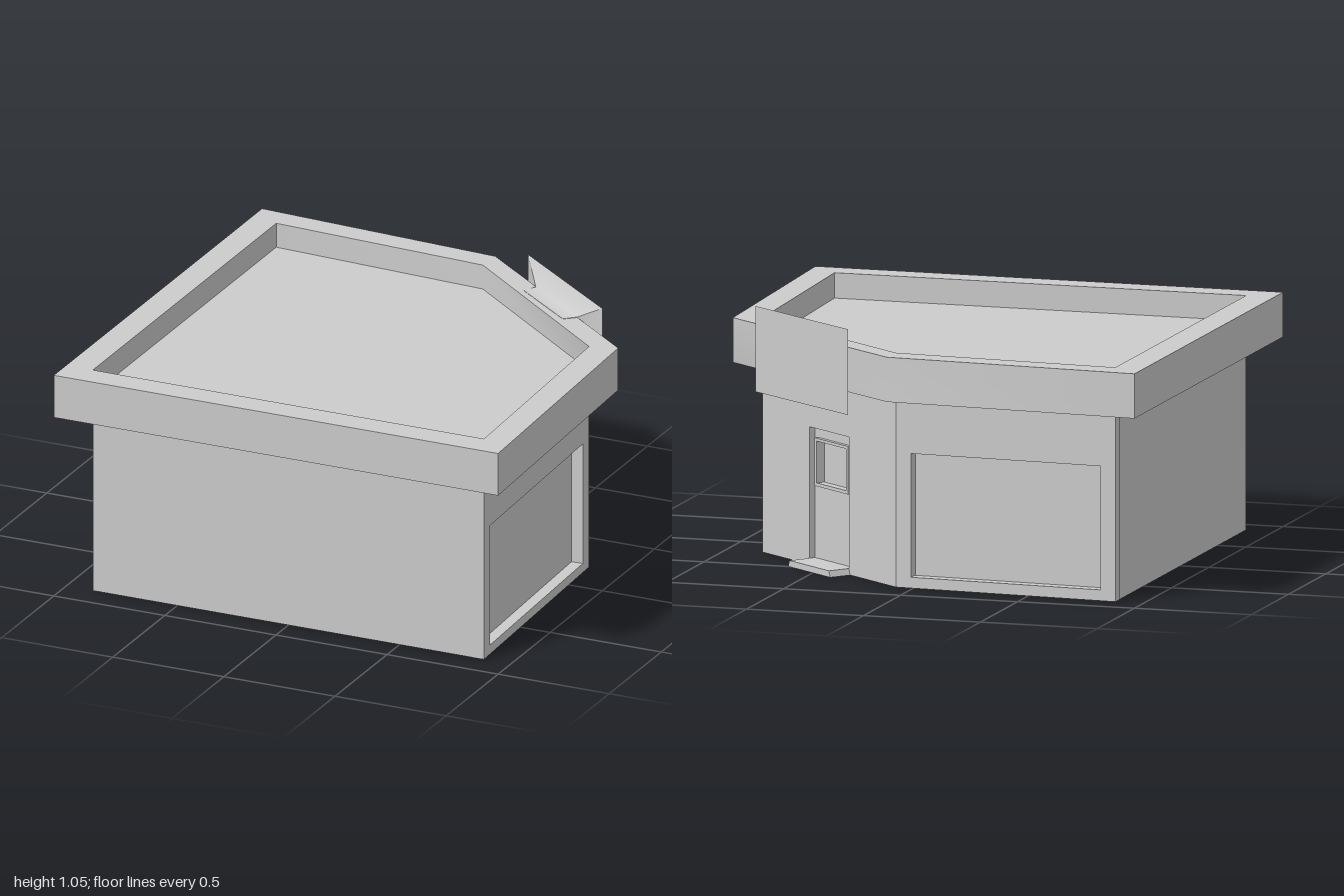
import * as THREE from 'three';
import { toCreasedNormals } from 'three/addons/utils/BufferGeometryUtils.js';

const material = new THREE.MeshStandardMaterial({ color: 0xcccccc });

const WALL_H = 0.785, ROOF_TOP = 0.97, ROOF_FLOOR = 0.865;
// Plan corners as (x, z), walking round with the outside on the right
const WALLS = [[-0.88, 0.88], [0.88, 0.88], [0.842, -0.21], [0.075, -0.826], [-0.88, -0.88]];
const EAVES = [[-1, 1], [1, 1], [0.957, -0.245], [0.08, -0.935], [-1, -1]];

const toPoints = (list) => list.map(([x, y]) => new THREE.Vector2(x, y));
const rect = (x0, y0, x1, y1) => toPoints([[x0, y0], [x1, y0], [x1, y1], [x0, y1]]);

function add(parent, name, geometry, x = 0, y = 0, z = 0) {
  const mesh = new THREE.Mesh(geometry, material);
  mesh.name = name;
  mesh.position.set(x, y, z);
  parent.add(mesh);
  return mesh;
}

// Extrude a plan shape downwards from its top height
function slab(shape, height, top) {
  return new THREE.ExtrudeGeometry(shape, { depth: height, bevelEnabled: false })
    .rotateX(Math.PI / 2).translate(0, top, 0);
}

// Rectangular frame with an open middle, growing towards +z
function frame(outer, inner, depth) {
  const shape = new THREE.Shape(outer);
  shape.holes.push(new THREE.Path(inner));
  return new THREE.ExtrudeGeometry(shape, { depth, bevelEnabled: false });
}

// Move every vertex of a geometry by a rule
function reshape(geometry, rule) {
  const p = geometry.attributes.position;
  for (let i = 0; i < p.count; i++) p.setXYZ(i, ...rule(p.getX(i), p.getY(i), p.getZ(i)));
  geometry.computeVertexNormals();
  return geometry;
}

// Group at the left end of a wall, local x along it and local z outwards
function wallGroup(name, a, b) {
  const group = new THREE.Group();
  group.name = name;
  group.position.set(a[0], 0, a[1]);
  group.rotation.y = Math.atan2(a[1] - b[1], b[0] - a[0]);
  return { group, length: Math.hypot(b[0] - a[0], b[1] - a[1]) };
}

// Wall with a large recessed shop window
function windowWall(group, length, y0, y1) {
  const depth = 0.05, m = 0.065;
  add(group, 'wall', frame(rect(0, 0, length, WALL_H), rect(m, y0, length - m, y1), depth), 0, 0, -depth);
  add(group, 'windowPane', new THREE.PlaneGeometry(length - 2 * m, y1 - y0),
    length / 2, (y0 + y1) / 2, -depth);
}

// Sign board that narrows to a neck resting on the parapet, in one smooth sweep
function signGeometry() {
  const sections = [
    { z: -0.1, w: 0.345, h: 0.188 },
    { z: -0.04, w: 0.368, h: 0.19 },
    { z: 0, w: 0.66, h: 0.355 },
  ];
  return reshape(new THREE.BoxGeometry(1, 1, 2, 1, 1, 2), (x, y, z) => {
    const s = sections[Math.round(z) + 1];
    return [x * s.w, y * s.h, s.z];
  });
}

// Corner wall with the door, step and sign
function entranceWall(group, length) {
  const depth = 0.028, half = 0.145, doorH = 0.57, mid = length / 2;
  const shape = new THREE.Shape(toPoints([
    [0, 0], [mid - half, 0], [mid - half, doorH], [mid + half, doorH],
    [mid + half, 0], [length, 0], [length, WALL_H], [0, WALL_H],
  ]));
  add(group, 'wall', new THREE.ExtrudeGeometry(shape, { depth, bevelEnabled: false }), 0, 0, -depth);

  // Door leaf with its small window
  add(group, 'door',
    frame(rect(-half, 0, half, doorH), rect(-0.108, 0.342, 0.108, 0.515), 0.02), mid, 0, -depth - 0.02);
  add(group, 'doorWindowFrame',
    frame(rect(-0.122, 0.328, 0.122, 0.527), rect(-0.108, 0.342, 0.108, 0.515), 0.018), mid, 0, -depth);
  add(group, 'doorWindowPane', new THREE.PlaneGeometry(0.216, 0.173), mid, 0.4285, -depth - 0.02);

  // Doorstep, its ends sloping in towards the top
  const step = reshape(new THREE.BoxGeometry(0.31, 0.026, 0.126),
    (x, y, z) => [y > 0 ? x * 0.935 : x, y, z]);
  add(group, 'doorstep', step, mid, 0.013, 0.035);

  // Sign, turned slightly to follow the parapet
  add(group, 'sign', signGeometry(), mid - 0.004, 0.8775, 0.131).rotation.y = 0.02;
}

export function createModel() {
  const model = new THREE.Group();
  model.name = 'cornerShop';

  // Walls, one per side of the plan
  const names = ['frontWall', 'leftWindowWall', 'entranceWall', 'backWindowWall', 'rightWall'];
  WALLS.forEach((a, i) => {
    const { group, length } = wallGroup(names[i], a, WALLS[(i + 1) % WALLS.length]);
    if (i === 1) windowWall(group, length, 0.04, 0.565);
    else if (i === 2) entranceWall(group, length);
    else if (i === 3) windowWall(group, length, 0.045, 0.557);
    else add(group, 'wall', new THREE.PlaneGeometry(length, WALL_H), length / 2, WALL_H / 2, 0);
    model.add(group);
  });

  // Underside
  add(model, 'base', new THREE.ShapeGeometry(new THREE.Shape(toPoints(WALLS))).rotateX(Math.PI / 2));

  // Overhanging parapet ring, smooth round the cut-off corner, and the sunken flat roof
  const ring = new THREE.Shape(toPoints(EAVES));
  ring.holes.push(new THREE.Path(toPoints(WALLS).reverse()));
  add(model, 'parapet', toCreasedNormals(slab(ring, ROOF_TOP - WALL_H, ROOF_TOP), 1));
  add(model, 'flatRoof', slab(new THREE.Shape(toPoints(WALLS)), 0.03, ROOF_FLOOR));

  return model;
}
